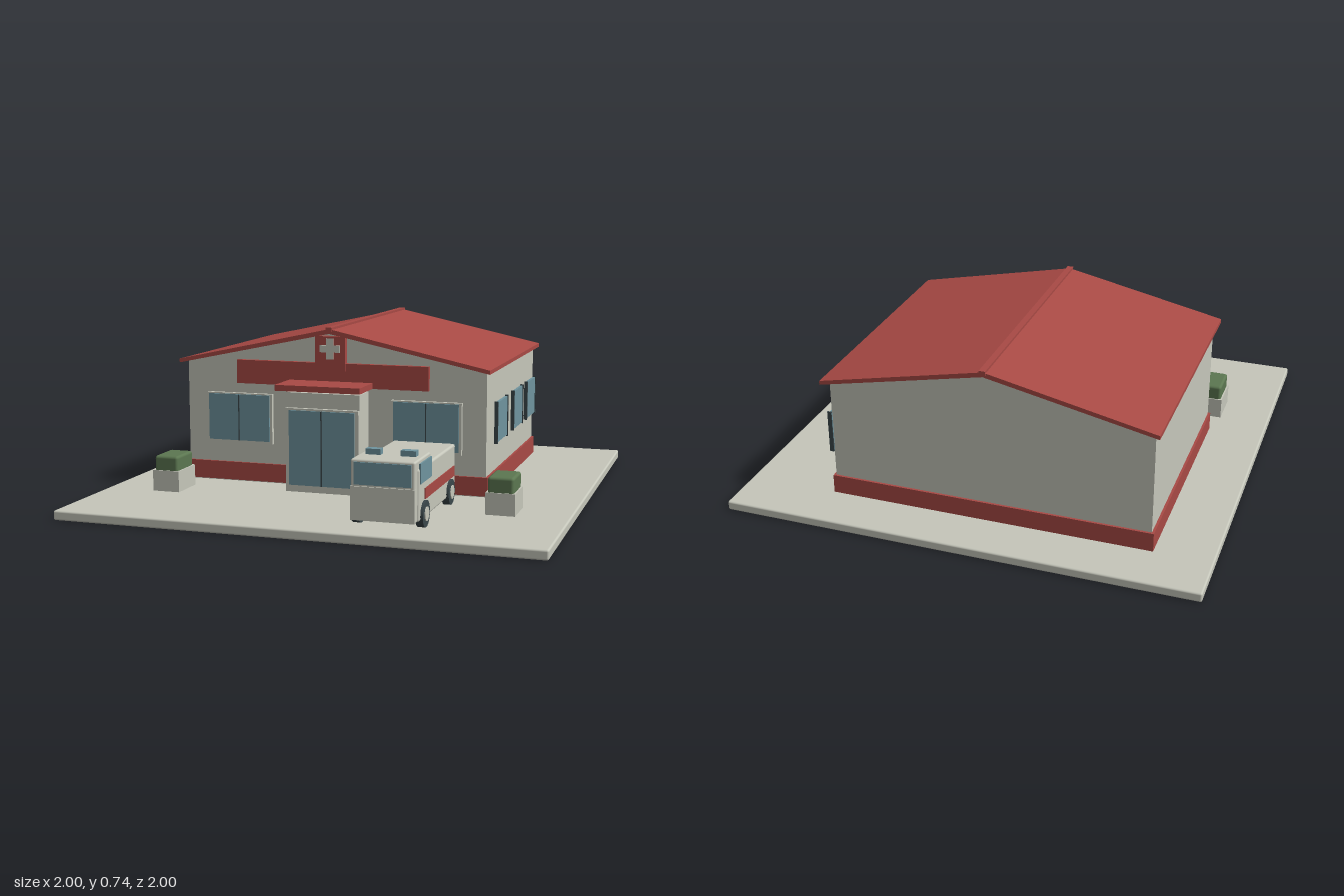
import * as THREE from 'three';
import { RoundedBoxGeometry } from 'three/addons/geometries/RoundedBoxGeometry.js';

const mat = (name, color) => {
  const m = new THREE.MeshStandardMaterial({ color });
  m.name = name;
  return m;
};

export function createModel() {
  const plaster = mat('pale plaster', 0xc6c7bb);
  const red = mat('brick red', 0xa94a45);
  const glass = mat('blue glass', 0x70959f);
  const dark = mat('dark trim', 0x3c484c);
  const green = mat('hedge green', 0x5c7751);

  const model = new THREE.Group();
  model.name = 'clinic';
  const group = (name) => {
    const g = new THREE.Group();
    g.name = name;
    model.add(g);
    return g;
  };
  const add = (parent, name, geo, material) => {
    const mesh = new THREE.Mesh(geo, material);
    mesh.name = name;
    parent.add(mesh);
    return mesh;
  };
  // Box given by its limits on each axis; r rounds the edges
  const box = (parent, name, material, [x0, x1], [y0, y1], [z0, z1], r = 0) => {
    const s = [x1 - x0, y1 - y0, z1 - z0];
    const geo = r ? new RoundedBoxGeometry(...s, 2, r) : new THREE.BoxGeometry(...s);
    geo.translate((x0 + x1) / 2, (y0 + y1) / 2, (z0 + z1) / 2);
    return add(parent, name, geo, material);
  };
  // Outline in x and y, extruded from z0 to z1
  const prism = (parent, name, material, pts, z0, z1) => {
    const shape = new THREE.Shape(pts.map(([x, y]) => new THREE.Vector2(x, y)));
    const geo = new THREE.ExtrudeGeometry(shape, { depth: z1 - z0, bevelEnabled: false });
    geo.translate(0, 0, z0);
    return add(parent, name, geo, material);
  };

  // Paved lot
  box(model, 'lot', plaster, [-1, 1], [0, 0.04], [-1, 1], 0.008);

  // Building shell and gabled roof
  const building = group('building');
  const mid = -0.077;
  prism(building, 'walls', plaster,
    [[-0.75, 0.04], [0.6, 0.04], [0.6, 0.568], [mid, 0.714], [-0.75, 0.568]], -0.785, 0.24);
  box(building, 'plinth', red, [-0.76, 0.61], [0.045, 0.125], [-0.795, 0.25]);
  prism(building, 'roof', red,
    [[-0.775, 0.563], [mid, 0.71], [0.621, 0.563], [0.621, 0.58], [mid, 0.73], [-0.775, 0.58]], -0.832, 0.28);
  box(building, 'ridgeCap', red, [mid - 0.013, mid + 0.013], [0.718, 0.737], [-0.837, 0.285]);

  // Sign band with the raised cross panel
  box(building, 'signBand', red, [-0.51, 0.355], [0.48, 0.583], [0.235, 0.262]);
  box(building, 'crossPanel', red, [-0.145, -0.01], [0.55, 0.698], [0.235, 0.268]);
  const cross = [[0.015, 0.045], [0.015, 0.015], [0.045, 0.015]];
  const quarter = [...cross, ...cross.map(([x, y]) => [x, -y]).reverse()];
  const outline = [...quarter, ...quarter.map(([x, y]) => [-x, -y])];
  prism(building, 'cross', plaster, outline.map(([x, y]) => [mid + x, 0.645 + y]), 0.268, 0.274);

  // Entrance porch, double doors and canopy
  const entrance = group('entrance');
  box(entrance, 'porch', plaster, [-0.24, 0.085], [0.04, 0.465], [0.235, 0.36]);
  box(entrance, 'doorFrame', plaster, [-0.24, 0.085], [0.04, 0.4], [0.35, 0.378]);
  for (const s of [-1, 1]) {
    const c = mid + s * 0.0745;
    box(entrance, 'doorLeaf', glass, [c - 0.0715, c + 0.0715], [0.07, 0.392], [0.376, 0.385]);
  }
  box(entrance, 'doorMullion', dark, [mid - 0.003, mid + 0.003], [0.07, 0.392], [0.376, 0.387]);
  box(entrance, 'canopy', red, [-0.265, 0.11], [0.48, 0.505], [0.235, 0.435]);

  // Front windows
  const windows = group('windows');
  for (const c of [-0.502, 0.345]) {
    box(windows, 'frontWindowFrame', plaster, [c - 0.153, c + 0.153], [0.213, 0.435], [0.235, 0.258]);
    box(windows, 'frontWindowGlass', glass, [c - 0.142, c + 0.142], [0.226, 0.43], [0.257, 0.265]);
    box(windows, 'frontWindowMullion', dark, [c - 0.0025, c + 0.0025], [0.226, 0.43], [0.257, 0.267]);
  }
  // Side windows
  for (const c of [-0.023, -0.372, -0.686]) {
    box(windows, 'sideWindowGlass', glass, [0.598, 0.612], [0.245, 0.418], [c - 0.106, c + 0.106]);
    for (const s of [-1, 1]) {
      const z = c + s * 0.106;
      box(windows, 'sideWindowPost', dark, [0.598, 0.616], [0.24, 0.423], [z - 0.003, z + 0.003]);
    }
  }

  // Planters with clipped hedges
  const planters = group('planters');
  for (const c of [-0.725, 0.725]) {
    box(planters, 'planterBox', plaster, [c - 0.06, c + 0.06], [0.04, 0.13], [0.378, 0.542]);
    box(planters, 'hedge', green, [c - 0.053, c + 0.053], [0.115, 0.192], [0.383, 0.537], 0.012);
  }

  // Ambulance
  const van = group('ambulance');
  const vx = 0.36;
  box(van, 'vanBody', plaster, [vx - 0.133, vx + 0.133], [0.078, 0.281], [0.342, 0.9], 0.01);
  box(van, 'vanCab', plaster, [vx - 0.126, vx + 0.126], [0.078, 0.313], [0.708, 0.932], 0.008);
  box(van, 'windscreen', glass, [vx - 0.112, vx + 0.112], [0.217, 0.303], [0.929, 0.938]);
  box(van, 'bumper', plaster, [vx - 0.126, vx + 0.126], [0.08, 0.21], [0.92, 0.938]);
  for (const s of [-1, 1]) {
    const side = (a, b) => [vx + s * a, vx + s * b].sort((p, q) => p - q);
    box(van, 'sideStripe', red, side(0.13, 0.137), [0.152, 0.194], [0.37, 0.82]);
    box(van, 'cabWindow', glass, side(0.129, 0.136), [0.222, 0.3], [0.725, 0.888]);
    box(van, 'beacon', glass, side(0.04, 0.1), [0.31, 0.335], [0.792, 0.828]);
    for (const z of [0.435, 0.83]) {
      const tyre = new THREE.CylinderGeometry(0.052, 0.052, 0.03, 24).rotateZ(Math.PI / 2);
      add(van, 'tyre', tyre, dark).position.set(vx + s * 0.128, 0.098, z);
      const hub = new THREE.CylinderGeometry(0.028, 0.028, 0.006, 20).rotateZ(Math.PI / 2);
      add(van, 'hub', hub, plaster).position.set(vx + s * 0.144, 0.098, z);
    }
  }

  return model;
}
